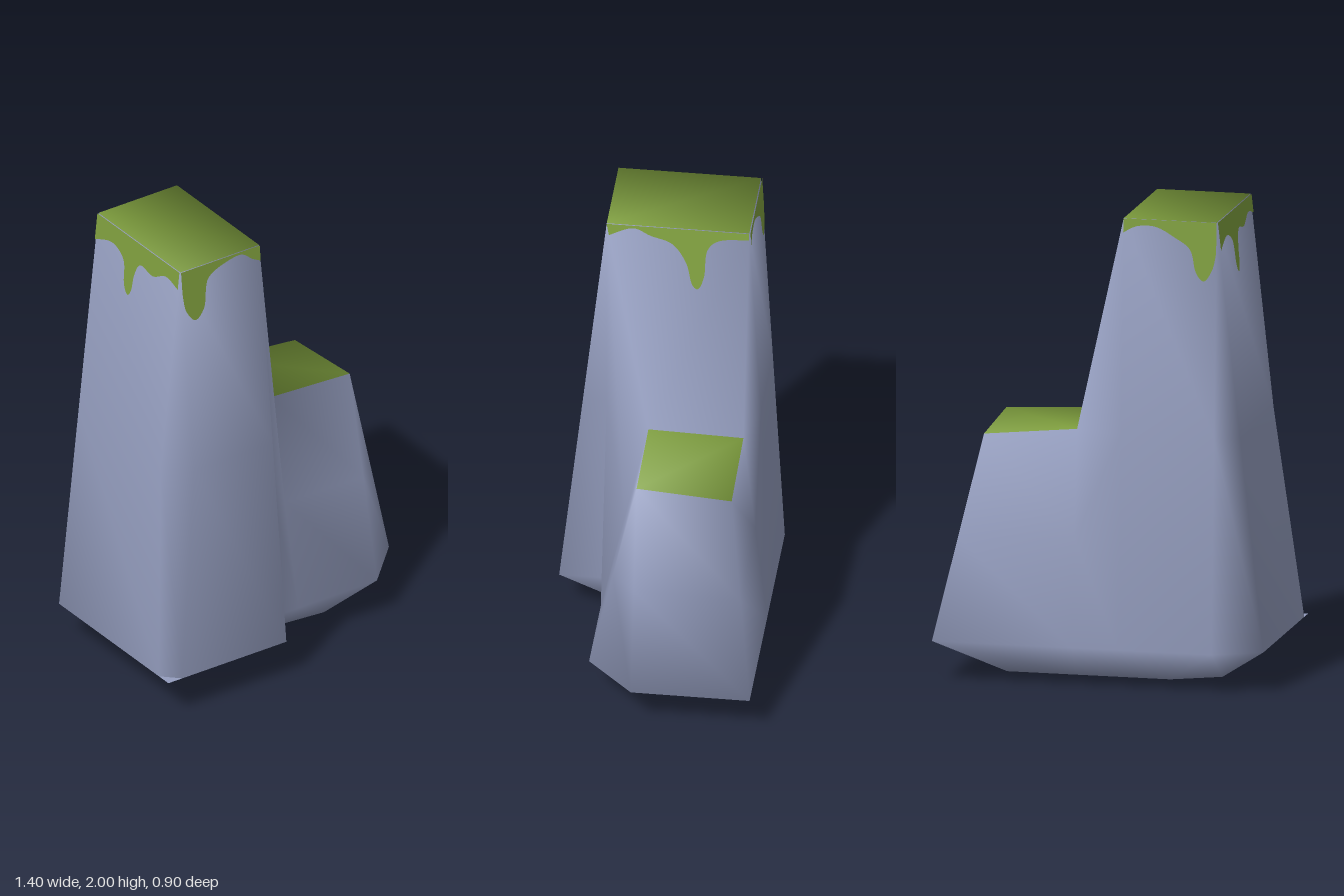
import * as THREE from 'three';
import { mergeVertices } from 'three/addons/utils/BufferGeometryUtils.js';

const rock = new THREE.MeshStandardMaterial({ color: 0x949dbe });
rock.name = 'blue grey rock';
const rockSheet = new THREE.MeshStandardMaterial({ color: 0x949dbe, side: THREE.DoubleSide });
rockSheet.name = 'blue grey rock sheet';
const moss = new THREE.MeshStandardMaterial({ color: 0x7f9f3e });
moss.name = 'moss green';

const v = (x, y, z) => new THREE.Vector3(x, y, z);

// Corners of the tall and the short plateau, clockwise from the back left
const tall = [v(-0.5, 2, -0.35), v(-0.1, 2, -0.35), v(-0.1, 2, 0.25), v(-0.5, 2, 0.25)];
const low = [v(0.1, 1.09, -0.35), v(0.5, 1.05, -0.35), v(0.5, 1.08, 0.05), v(0.1, 1.1, 0.05)];

// Each column of the cliff: upper corner, rim [x, z], bottom [x, z], optional mid point
const columns = [
  [tall[0], [-0.7, -0.35], [-0.5, -0.25]],
  [tall[0], [-0.5, -0.45], [-0.3, -0.35]],
  [tall[1], [-0.1, -0.45], [-0.1, -0.35]],
  [low[0], [0.1, -0.45], [0.1, -0.35]],
  [low[1], [0.7, -0.45], [0.4, -0.35]],
  [low[2], [0.7, 0.05], [0.4, 0.05]],
  [low[2], [0.5, 0.25], [0.3, 0.15]],
  [low[3], [0.1, 0.25], [0.1, 0.13]],
  [tall[2], [-0.1, 0.25], [-0.1, 0.13]],
  [tall[2], [-0.1, 0.45], [-0.3, 0.25]],
  [tall[3], [-0.63, 0.45], [-0.5, 0.25], v(-0.5, 1.09, 0.35)],
  [tall[3], [-0.7, 0.38], [-0.5, 0.25], v(-0.6, 1.09, 0.25)],
];
const upper = columns.map(c => c[0]);
const rim = columns.map(c => v(c[1][0], 0.175, c[1][1]));
const mid = columns.map((c, i) => c[3] ?? c[0].clone().lerp(rim[i], 0.5));
const bottom = columns.map(c => v(c[2][0], 0.04, c[2][1]));
const keel = bottom.map(p => v(THREE.MathUtils.clamp(p.x, -0.3, -0.1), 0, -0.1));

// Triangles joining rings from top to bottom
function loft(rows, closed = true) {
  const tris = [];
  for (let r = 0; r + 1 < rows.length; r++) {
    const n = rows[r].length;
    for (let i = 0; i < (closed ? n : n - 1); i++) {
      const j = (i + 1) % n;
      const a = rows[r][i], b = rows[r][j], c = rows[r + 1][j], d = rows[r + 1][i];
      tris.push(a, b, d, b, c, d);
    }
  }
  return tris;
}
const cap = ([a, b, c, d]) => [a, c, b, a, d, c];

function smooth(points) {
  const g = mergeVertices(new THREE.BufferGeometry().setFromPoints(points), 1e-4);
  g.computeVertexNormals();
  return g;
}

// Moss hanging over one plateau edge; profile holds [share of edge, depth]
function drip(a, b, lowA, lowB, profile) {
  const out = v().crossVectors(b.clone().sub(a), lowA.clone().sub(a)).setLength(0.005);
  const curve = new THREE.SplineCurve(profile.map(([u, d]) => new THREE.Vector2(u, d)));
  const top = [], edge = [];
  for (const p of curve.getPoints(60)) {
    const u = THREE.MathUtils.clamp(p.x, 0, 1);
    const start = a.clone().lerp(b, u), end = lowA.clone().lerp(lowB, u);
    const depth = Math.max(p.y, 0.008) / (start.y - end.y);
    edge.push(start.clone().lerp(end, depth).add(out));
    top.push(start.add(v(out.x, 0, out.z)));
  }
  return smooth(loft([top, edge], false));
}

export function createModel() {
  const group = new THREE.Group();
  group.name = 'mossyRock';
  const add = (name, geometry, material) => {
    const mesh = new THREE.Mesh(geometry, material);
    mesh.name = name;
    group.add(mesh);
  };

  // Cliffs, keel, saddle between the pillars, and the two mossy plateaus
  const stone = [...loft([upper, mid, rim, bottom, keel]), ...cap([tall[1], low[0], low[3], tall[2]])];
  const green = [...cap(tall), ...cap(low)];
  const body = smooth([...stone, ...green]);
  body.addGroup(0, stone.length, 0);
  body.addGroup(stone.length, green.length, 1);
  add('pillarsAndPlateaus', body, [rock, moss]);

  // Thin lip at the foot of the chamfered front corner
  add('cornerLip', smooth([rim[11], rim[10], v(-0.7, 0.175, 0.45)]), rockSheet);

  // Moss drips around the tall plateau
  add('frontMossDrip', drip(tall[2], tall[3], mid[9], mid[10], [[0, 0.07], [0.1, 0.05], [0.25, 0.012],
    [0.5, 0.03], [0.65, 0.06], [0.7, 0.1], [0.74, 0.19], [0.86, 0.235], [0.97, 0.18], [1, 0.1]]), moss);
  add('leftSideMossDrip', drip(tall[1], tall[2], low[0], low[3], [[0, 0.03], [0.2, 0.04], [0.3, 0.09],
    [0.33, 0.2], [0.38, 0.26], [0.43, 0.24], [0.46, 0.15], [0.55, 0.07], [0.7, 0.04], [0.82, 0.012], [1, 0.05]]), moss);
  add('rightSideMossDrip', drip(tall[3], tall[0], mid[11], mid[0], [[0, 0.08], [0.15, 0.06], [0.3, 0.1],
    [0.45, 0.09], [0.51, 0.15], [0.53, 0.23], [0.57, 0.26], [0.62, 0.22], [0.65, 0.12], [0.8, 0.08], [1, 0.12]]), moss);
  add('backMossDrip', drip(tall[0], tall[1], mid[1], mid[2], [[0, 0.13], [0.04, 0.2], [0.13, 0.25],
    [0.22, 0.21], [0.28, 0.12], [0.45, 0.07], [0.65, 0.03], [0.85, 0.03], [1, 0.06]]), moss);

  return group;
}
